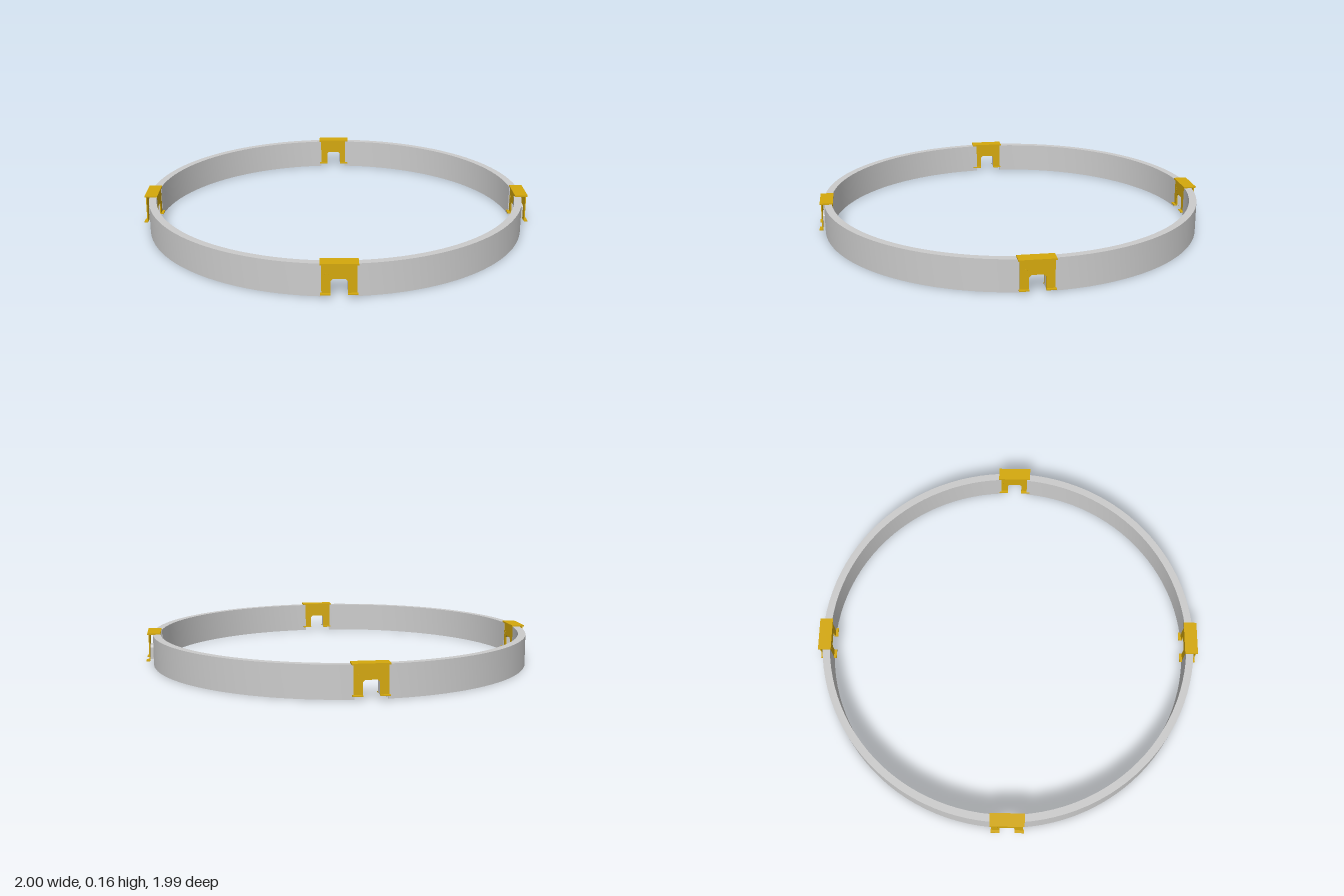
import * as THREE from 'three';
import { toCreasedNormals } from 'three/addons/utils/BufferGeometryUtils.js';

const grey = new THREE.MeshStandardMaterial({ color: 0xcccccc, side: THREE.DoubleSide });
const gold = new THREE.MeshStandardMaterial({ color: 0xd4a80c, side: THREE.DoubleSide });

function add(parent, name, geometry, material, x = 0, y = 0, z = 0) {
  const mesh = new THREE.Mesh(geometry, material);
  mesh.name = name;
  mesh.position.set(x, y, z);
  parent.add(mesh);
  return mesh;
}

const box = (w, h, d) => new THREE.BoxGeometry(w, h, d);

// Downward-open channel section with small inturned lips: [radius, height]
const section = [
  [0.960, 0], [0.968, 0], [0.968, 0.156], [0.930, 0.156], [0.930, 0], [0.938, 0],
  [0.938, 0.005], [0.934, 0.005], [0.934, 0.151], [0.964, 0.151], [0.964, 0.005], [0.960, 0.005],
].map(([r, y]) => new THREE.Vector2(r, y));

// One curved length of rail between two angles, with closed ends
function railArc(start, end) {
  const g = new THREE.Group();
  g.name = 'railArc';
  const lathe = new THREE.LatheGeometry([...section, section[0]], 24, start, end - start);
  add(g, 'railChannel', toCreasedNormals(lathe, 0.5), grey);
  for (const a of [start, end]) {
    add(g, 'railEnd', new THREE.ShapeGeometry(new THREE.Shape(section)), grey).rotation.y = a - Math.PI / 2;
  }
  return g;
}

// Arch opening, left foot to right foot
const arch = [[-0.038, 0.022], [-0.038, 0.08], [-0.028, 0.09], [0.028, 0.09], [0.038, 0.08], [0.038, 0.022]];

// Saddle clip: cap, two arched plates, arch lining and feet; local +z points outward
function clip() {
  const g = new THREE.Group();
  g.name = 'clip';
  add(g, 'clipCap', box(0.172, 0.007, 0.066), gold, 0, 0.16, 0);

  const outline = [[-0.079, 0.022], ...arch, [0.079, 0.022], [0.079, 0.158], [-0.079, 0.158]];
  const plate = new THREE.ExtrudeGeometry(
    new THREE.Shape(outline.map(([x, y]) => new THREE.Vector2(x, y))),
    { depth: 0.005, bevelEnabled: false });
  add(g, 'outerPlate', plate, gold, 0, 0, 0.022);
  add(g, 'innerPlate', plate, gold, 0, 0, -0.027);

  // Thin folded strip joining the plates around the opening
  const liner = [...arch, ...arch.map(([x, y]) => [x * 1.08, y > 0.03 ? y + 0.003 : y]).reverse()];
  add(g, 'archLining', new THREE.ExtrudeGeometry(
    new THREE.Shape(liner.map(([x, y]) => new THREE.Vector2(x, y))),
    { depth: 0.044, bevelEnabled: false }), grey, 0, 0, -0.022);

  // Turned-out feet below each leg and a small stud on each plate
  for (const side of [-1, 1]) {
    const reach = 0.018;
    for (const x of [-0.061, 0.061]) {
      add(g, 'foot', box(0.046, 0.005, reach), gold, x, 0.0215, side * (0.041 - reach / 2));
    }
    const stud = new THREE.CylinderGeometry(0.009, 0.009, 0.002, 16);
    add(g, 'stud', stud, gold, side * -0.055, 0.108, side * 0.0275).rotation.x = Math.PI / 2;
  }
  return g;
}

export function createModel() {
  const model = new THREE.Group();
  model.name = 'clippedRing';

  // Clip position and facing angle, in order around the ring
  const clips = [
    { x: 0, z: 0.949, facing: 0, gap: 0 },
    { x: 0.959, z: 0.02, facing: Math.PI / 2, gap: Math.PI / 2 - 0.024 },
    { x: 0, z: -0.959, facing: Math.PI, gap: Math.PI },
    { x: -0.959, z: 0.003, facing: 1.5 * Math.PI, gap: 1.5 * Math.PI },
  ];

  const ring = new THREE.Group();
  ring.name = 'ring';
  ring.position.set(-0.003, 0, -0.005);
  const halfGap = 0.077;
  clips.forEach((c, i) => {
    const next = i < 3 ? clips[i + 1].gap : 2 * Math.PI;
    ring.add(railArc(c.gap + halfGap, next - halfGap));
    const saddle = clip();
    saddle.position.set(c.x, 0, c.z);
    saddle.rotation.y = c.facing;
    model.add(saddle);
  });
  model.add(ring);
  return model;
}
